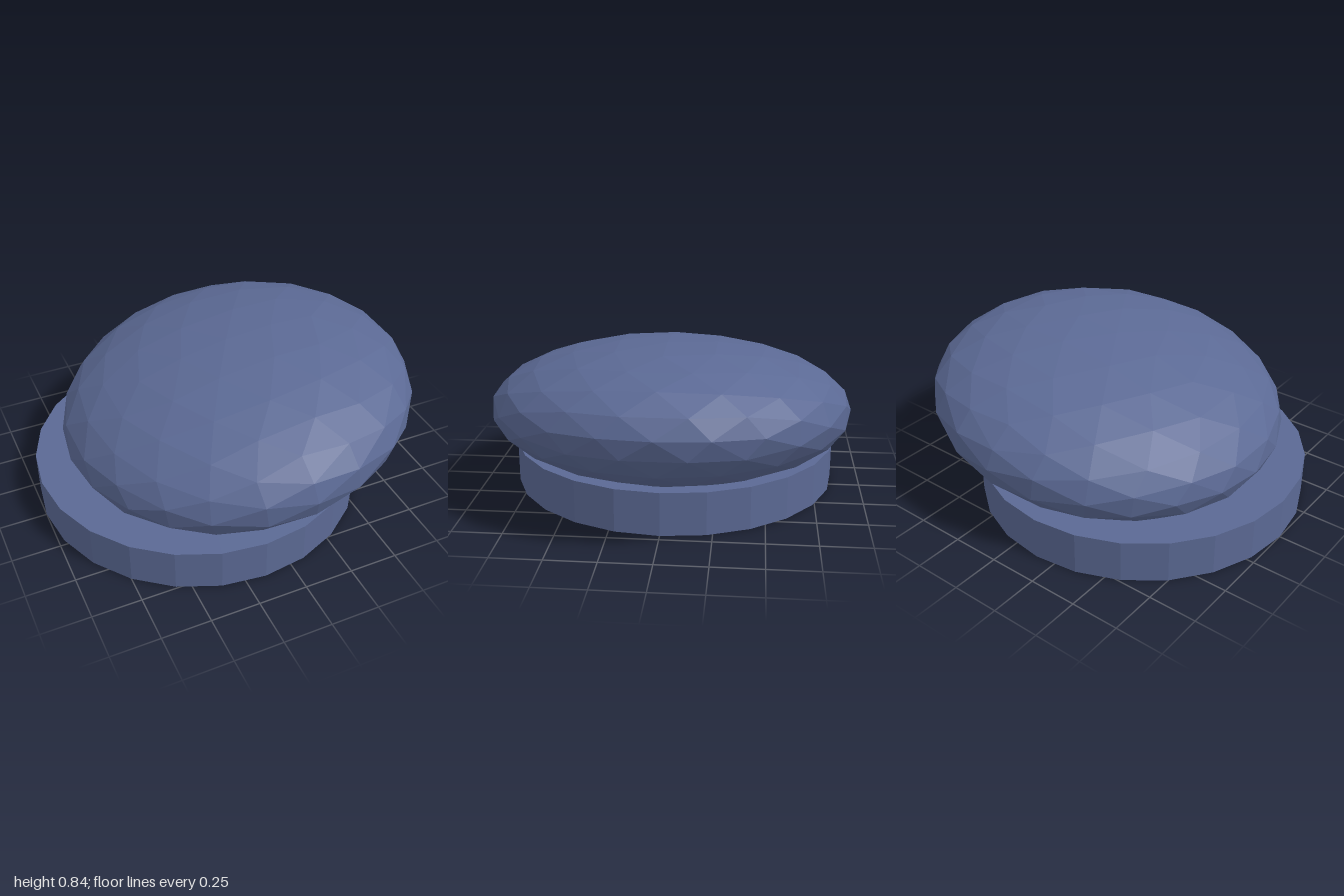
import * as THREE from 'three';

// Faceted ball: an icosahedron whose triangles are split at normalised edge midpoints
function facetedBall(levels) {
  const p = new THREE.IcosahedronGeometry(1, 0).getAttribute('position');
  let tris = [];
  for (let i = 0; i < p.count; i += 3) {
    tris.push([0, 1, 2].map((k) => new THREE.Vector3().fromBufferAttribute(p, i + k)));
  }
  const mid = (a, b) => a.clone().add(b).normalize();
  for (let n = 0; n < levels; n++) {
    tris = tris.flatMap(([a, b, c]) => {
      const ab = mid(a, b), bc = mid(b, c), ca = mid(c, a);
      return [[a, ab, ca], [ab, b, bc], [ca, bc, c], [ab, bc, ca]];
    });
  }
  return new THREE.BufferGeometry().setFromPoints(tris.flat());
}

export function createModel() {
  const group = new THREE.Group();
  group.name = 'cushionOnBase';
  const slateBlue = new THREE.MeshStandardMaterial({ color: 0x5b6994 });
  slateBlue.name = 'slateBlue';

  // Round base disc with 24 flat sides
  const discGeometry = new THREE.CylinderGeometry(0.855, 0.855, 0.22, 24).toNonIndexed();
  discGeometry.computeVertexNormals();
  const base = new THREE.Mesh(discGeometry, slateBlue);
  base.name = 'baseDisc';
  base.position.set(-0.145, 0.11, 0);

  // Flattened ball resting on the disc, tipped up toward +x
  const ballGeometry = facetedBall(2);
  ballGeometry.scale(0.927, 0.37, 0.925);
  ballGeometry.computeVertexNormals();
  const cushion = new THREE.Mesh(ballGeometry, slateBlue);
  cushion.name = 'tiltedCushion';
  cushion.position.set(0.08, 0.45, 0);
  cushion.rotation.z = 0.14;

  group.add(base, cushion);
  return group;
}
